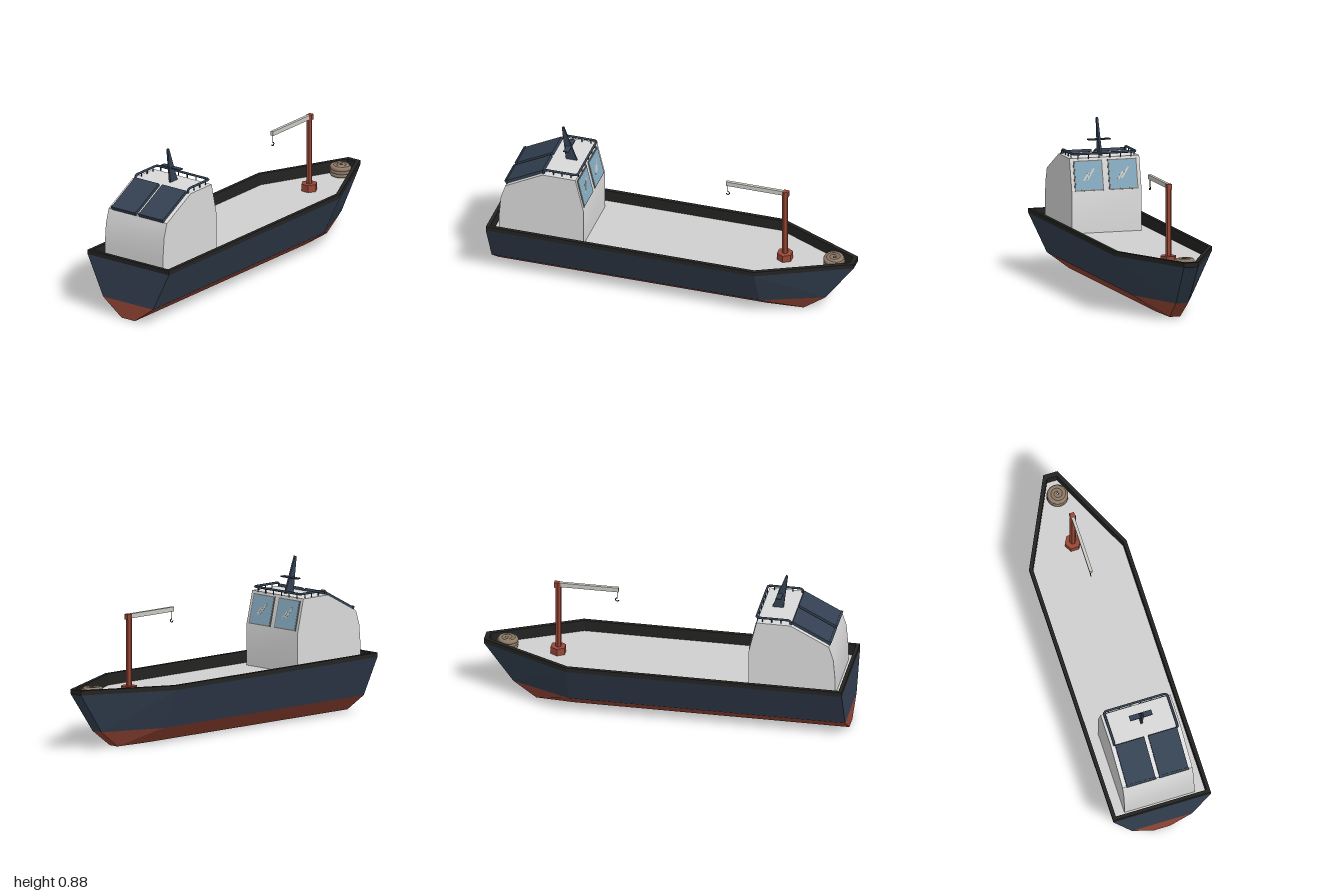
import * as THREE from 'three';
import { toCreasedNormals } from 'three/addons/utils/BufferGeometryUtils.js';

const material = (name, color, side = THREE.FrontSide) => {
  const m = new THREE.MeshStandardMaterial({ color, side });
  m.name = name;
  return m;
};

export function createModel() {
  const navy = material('navy', 0x344152);
  const red = material('red', 0x984736);
  const black = material('black', 0x232322);
  const grey = material('deckGrey', 0xd0d0d0, THREE.DoubleSide);
  const white = material('cabinWhite', 0xdadada);
  const glass = material('glass', 0x86abc0);
  const trim = material('windowTrim', 0x75716c);
  const pale = material('paleGrey', 0xcbcac4);
  const tan = material('rope', 0x8f7b69);

  const model = new THREE.Group();
  model.name = 'workBoat';
  const add = (name, geo, mat, parent = model, x = 0, y = 0, z = 0) => {
    const m = new THREE.Mesh(geo, mat);
    m.name = name;
    m.position.set(x, y, z);
    parent.add(m);
    return m;
  };
  const box = (name, w, h, d, mat, x, y, z, parent = model) =>
    add(name, new THREE.BoxGeometry(w, h, d), mat, parent, x, y, z);

  // Flat-shaded mesh from a list of quads
  const quads = (list) => {
    const pos = [];
    for (const [a, b, c, d] of list) pos.push(...a, ...b, ...d, ...b, ...c, ...d);
    const g = new THREE.BufferGeometry();
    g.setAttribute('position', new THREE.Float32BufferAttribute(pos, 3));
    g.computeVertexNormals();
    return g;
  };

  // Hull: keel, chine and sheer lines at the stern, shoulder and bow
  const ys = [0, 0.093, 0.313];
  const half = [0.045, 0.17, 0.275];
  const bowHalf = [0.03, 0.035, 0.04];
  const bowZ = [-0.715, -0.84, -1];
  const point = (level, station, s) => station === 2
    ? [s * bowHalf[level], ys[level], bowZ[level]]
    : [s * half[level], ys[level], station ? -0.51 : 1];
  const band = (i) => {
    const list = [];
    for (const s of [1, -1]) for (let k = 0; k < 2; k++) {
      const q = [point(i, k, s), point(i, k + 1, s), point(i + 1, k + 1, s), point(i + 1, k, s)];
      // Mirrored side keeps the same diagonal with reversed winding
      list.push(s > 0 ? q : [q[2], q[1], q[0], q[3]]);
    }
    list.push([point(i, 0, -1), point(i, 0, 1), point(i + 1, 0, 1), point(i + 1, 0, -1)]);
    list.push([point(i, 2, 1), point(i, 2, -1), point(i + 1, 2, -1), point(i + 1, 2, 1)]);
    return list;
  };
  const bottom = [0, 1].map((k) => [point(0, k, 1), point(0, k, -1), point(0, k + 1, -1), point(0, k + 1, 1)]);
  add('lowerHull', quads([...band(0), ...bottom]), red);
  add('upperHull', quads(band(1)), navy);

  // Rim, inner bulwark and deck
  const outline = (w, stern, shoulder, bw, bow) =>
    [[w, stern], [w, shoulder], [bw, bow], [-bw, bow], [-w, shoulder], [-w, stern]];
  const outer = outline(0.275, 1, -0.51, 0.04, -1);
  const inner = outline(0.255, 0.98, -0.505, 0.028, -0.974);
  const toShape = (pts, Type = THREE.Shape) => new Type(pts.map(([x, z]) => new THREE.Vector2(x, -z)));
  const rimShape = toShape(outer);
  rimShape.holes.push(toShape(inner, THREE.Path));
  add('rim', new THREE.ExtrudeGeometry(rimShape, { depth: 0.025, bevelEnabled: false })
    .rotateX(-Math.PI / 2), black, model, 0, 0.313, 0);
  const deckY = 0.275;
  add('bulwark', quads(inner.map(([x, z], i) => {
    const [u, v] = inner[(i + 1) % inner.length];
    return [[u, deckY, v], [x, deckY, z], [x, 0.314, z], [u, 0.314, v]];
  })), black);
  add('deck', new THREE.ShapeGeometry(toShape(inner)).rotateX(-Math.PI / 2), grey, model, 0, deckY, 0);

  // Cabin: side profile (z, y) extruded across the boat
  const profile = [[0.475, deckY], [0.95, deckY], [0.95, 0.37], [0.94, 0.49], [0.915, 0.568],
    [0.705, 0.678], [0.52, 0.678], [0.475, 0.49]];
  const cabinGeo = new THREE.ExtrudeGeometry(
    new THREE.Shape(profile.map(([z, y]) => new THREE.Vector2(z, y))), { depth: 0.394, bevelEnabled: false });
  cabinGeo.rotateY(-Math.PI / 2).translate(0.197, 0, 0);
  add('cabin', toCreasedNormals(cabinGeo, 0.35), white);

  // Sloping panels over the cabin front, and windows looking over the deck
  for (const s of [1, -1]) {
    const panel = new THREE.Group();
    panel.name = 'slopingPanel';
    panel.position.set(s * 0.0925, 0.627, 0.813);
    panel.rotation.x = Math.atan2(0.11, 0.21);
    model.add(panel);
    box('panelSheet', 0.163, 0.016, 0.236, navy, 0, 0.004, 0, panel);
    box('panelLip', 0.165, 0.022, 0.012, navy, 0, 0.005, 0.114, panel);

    const win = new THREE.Group();
    win.name = 'window';
    win.position.set(s * 0.097, 0.584, 0.4973);
    win.rotation.x = Math.atan2(0.045, 0.188);
    model.add(win);
    box('windowFrame', 0.164, 0.166, 0.006, trim, 0, 0, 0, win);
    box('windowPane', 0.152, 0.154, 0.009, glass, 0, 0, 0, win);
    [[-0.012, 0.008, 0.07], [0.014, -0.006, 0.05]].forEach(([x, y, len]) => {
      box('windowGlint', 0.01, len, 0.0095, pale, x, y, -0.0006, win).rotation.z = 0.6;
    });
  }

  // Roof rail with short posts
  const railPts = [[0.178, 0.676, 0.705], [0.178, 0.695, 0.703], [0.178, 0.701, 0.69], [0.178, 0.701, 0.53],
    [0.174, 0.701, 0.519], [0.163, 0.701, 0.515]];
  const railAll = [...railPts, ...railPts.slice().reverse().map(([x, y, z]) => [-x, y, z])]
    .map((p) => new THREE.Vector3(...p));
  const railPath = new THREE.CurvePath();
  for (let i = 1; i < railAll.length; i++) railPath.add(new THREE.LineCurve3(railAll[i - 1], railAll[i]));
  add('roofRail', new THREE.TubeGeometry(railPath, 160, 0.0065, 8), navy);
  const post = new THREE.CylinderGeometry(0.003, 0.003, 0.03, 6);
  for (const s of [1, -1]) for (const z of [0.55, 0.6, 0.65]) add('railPost', post, navy, model, s * 0.178, 0.688, z);
  for (const x of [-0.15, -0.09, -0.03, 0.03, 0.09, 0.15]) add('railPost', post, navy, model, x, 0.688, 0.517);

  // Raked mast blade with crossbar
  const blade = new THREE.Shape([[0.568, 0.67], [0.632, 0.67], [0.656, 0.872], [0.645, 0.875]]
    .map(([z, y]) => new THREE.Vector2(z, y)));
  add('mastBlade', new THREE.ExtrudeGeometry(blade, { depth: 0.011, bevelEnabled: false })
    .rotateY(-Math.PI / 2).translate(0.0055, 0, 0), navy);
  box('mastCrossbar', 0.126, 0.006, 0.03, navy, 0, 0.76, 0.615);

  // Deck crane
  const hex = (name, r, y0, y1, mat) => add(name,
    toCreasedNormals(new THREE.CylinderGeometry(r, r, y1 - y0, 6).rotateY(Math.PI / 6), 0.3),
    mat, model, 0, (y0 + y1) / 2, -0.6);
  hex('craneBase', 0.045, deckY, 0.315, red);
  hex('cranePost', 0.017, 0.31, 0.705, red);
  box('craneHead', 0.026, 0.03, 0.03, red, 0, 0.692, -0.607);
  box('craneBoom', 0.017, 0.025, 0.345, pale, 0, 0.694, -0.4425);
  add('hookLine', new THREE.CylinderGeometry(0.002, 0.002, 0.045, 6), black, model, 0, 0.662, -0.278);
  add('craneHook', new THREE.TorusGeometry(0.009, 0.0028, 6, 14, Math.PI * 1.5)
    .rotateZ(Math.PI).rotateY(Math.PI / 2), black, model, 0, 0.632, -0.278);

  // Coiled rope: stacked turns, then a spiral inwards on top
  const coil = [];
  for (let i = 0; i <= 96; i++) {
    const turn = i / 20;
    const r = turn < 2.4 ? 0.045 : 0.045 - (turn - 2.4) * 0.0165;
    const a = turn * Math.PI * 2;
    coil.push(new THREE.Vector3(r * Math.cos(a), 0.289 + Math.min(turn, 2.4) * 0.0175, r * Math.sin(a)));
  }
  add('ropeCoil', new THREE.TubeGeometry(new THREE.CatmullRomCurve3(coil), 200, 0.0135, 8),
    tan, model, 0, 0, -0.877);

  return model;
}
